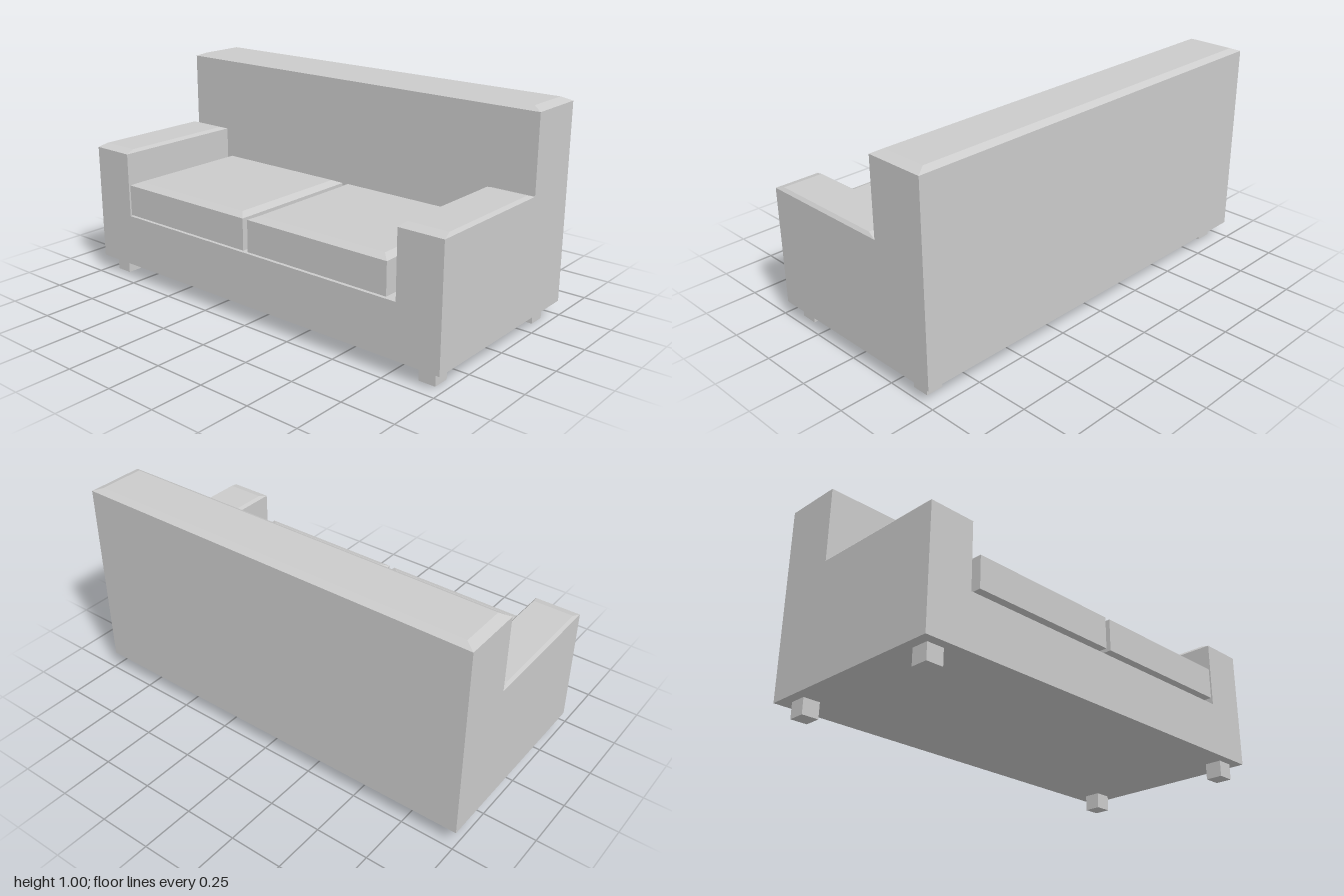
import * as THREE from 'three';

const material = new THREE.MeshStandardMaterial({ color: 0xcccccc, flatShading: true });

// Block made of stacked rectangles; each level is [y, insetX, insetZ]
function block(name, [x0, x1], [z0, z1], levels) {
  const pos = [], index = [];
  for (const [y, ix, iz] of levels) {
    pos.push(x0 + ix, y, z0 + iz, x0 + ix, y, z1 - iz, x1 - ix, y, z1 - iz, x1 - ix, y, z0 + iz);
  }
  for (let l = 0; l < levels.length - 1; l++) {
    for (let i = 0; i < 4; i++) {
      const a = l * 4 + i, b = l * 4 + (i + 1) % 4;
      index.push(a, b, b + 4, a, b + 4, a + 4);
    }
  }
  const t = (levels.length - 1) * 4;
  index.push(t, t + 1, t + 2, t, t + 2, t + 3, 0, 2, 1, 0, 3, 2);
  const indexed = new THREE.BufferGeometry();
  indexed.setAttribute('position', new THREE.Float32BufferAttribute(pos, 3));
  indexed.setIndex(index);
  const geometry = indexed.toNonIndexed();
  geometry.computeVertexNormals();
  const mesh = new THREE.Mesh(geometry, material);
  mesh.name = name;
  return mesh;
}

export function createModel() {
  const sofa = new THREE.Group();
  sofa.name = 'sofa';
  const bottom = 0.075, front = -0.465, backrestFront = 0.2, back = 0.48;
  const armInner = 0.787;

  // Seat base between the arms
  sofa.add(block('seatBase', [front, backrestFront], [-armInner, armInner],
    [[bottom, 0, 0], [0.325, 0, 0]]));

  // Full-width backrest with a bevelled top
  sofa.add(block('backrest', [backrestFront, back], [-1, 1],
    [[bottom, 0, 0], [0.988, 0, 0], [1.005, 0.03, 0.045]]));

  // Arms with bevelled tops
  for (const [name, z] of [['rightArm', [-1, -armInner]], ['leftArm', [armInner, 1]]]) {
    sofa.add(block(name, [front, backrestFront], z,
      [[bottom, 0, 0], [0.632, 0, 0], [0.646, 0.047, 0.012]]));
  }

  // Two seat cushions, bevelled above and below
  for (const z of [[-0.757, -0.017], [0.01, 0.752]]) {
    sofa.add(block('seatCushion', [-0.48, backrestFront], z,
      [[0.325, 0.037, 0.037], [0.342, 0, 0], [0.489, 0, 0], [0.505, 0.037, 0.037]]));
  }

  // Four square feet
  for (const x of [-0.381, 0.375]) {
    for (const z of [-0.914, 0.914]) {
      const foot = new THREE.Mesh(new THREE.BoxGeometry(0.08, bottom, 0.08), material);
      foot.name = 'foot';
      foot.position.set(x, bottom / 2, z);
      sofa.add(foot);
    }
  }
  return sofa;
}
